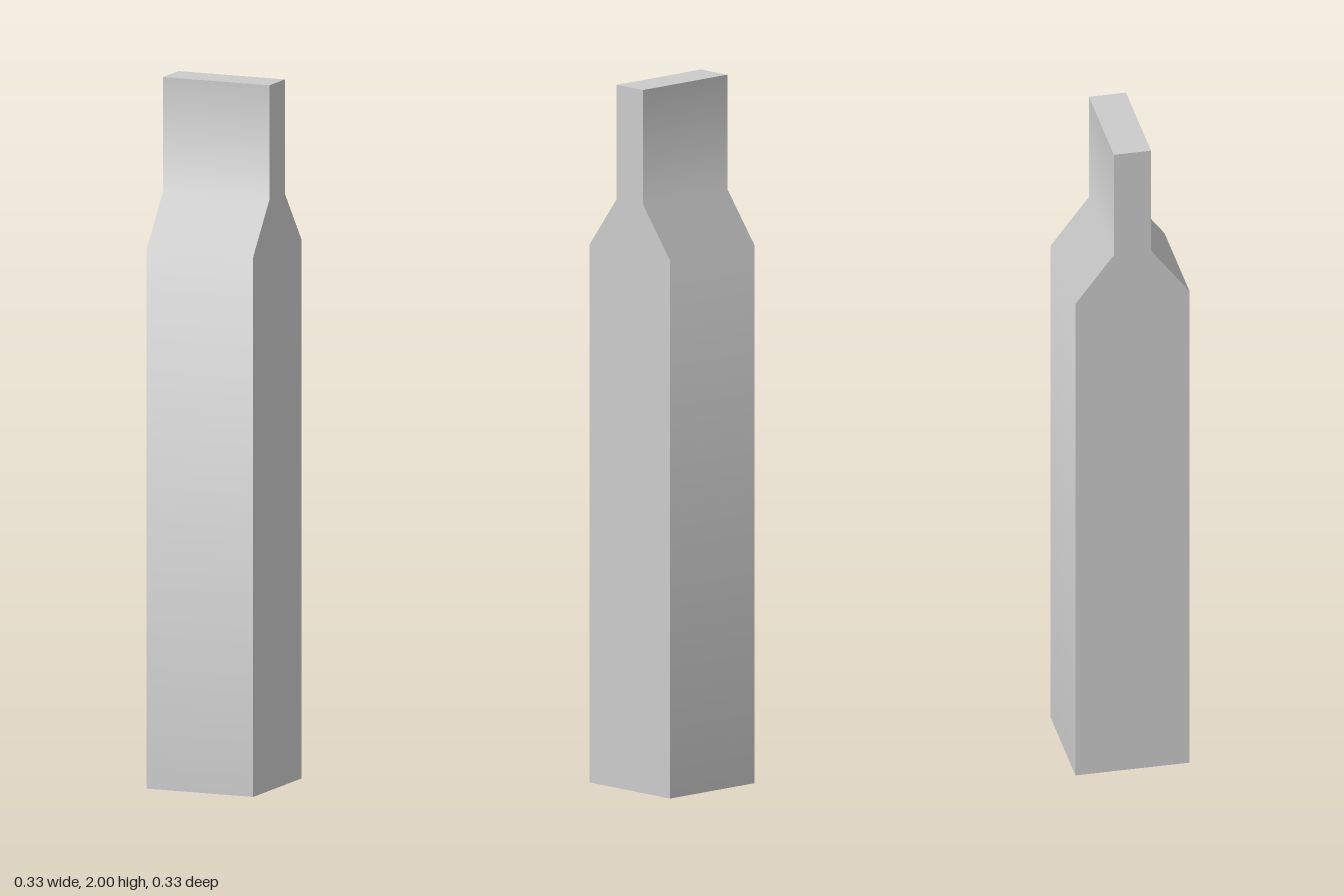
import * as THREE from 'three';

const HALF_WIDTH = 0.163;
// Side profile from bottom to top: [half depth, height]
const PROFILE = [[0.163, 0], [0.163, 1.53], [0.053, 1.675], [0.053, 2]];

export function createModel() {
  const group = new THREE.Group();
  const material = new THREE.MeshStandardMaterial({ color: 0xcccccc, side: THREE.DoubleSide });
  const add = (name, geometry) => {
    const mesh = new THREE.Mesh(geometry, material);
    mesh.name = name;
    group.add(mesh);
    return mesh;
  };

  // Broad faces: a strip bent along the profile, shaded smoothly over the bends
  const tilt = Math.atan2(0.11, 0.145) / 2;
  const broad = new THREE.PlaneGeometry(HALF_WIDTH * 2, 2, 1, PROFILE.length - 1);
  const { position, normal } = broad.attributes;
  for (let i = 0; i < position.count; i++) {
    const row = PROFILE.length - 1 - Math.floor(i / 2);
    const [z, y] = PROFILE[row];
    position.setY(i, y);
    position.setZ(i, z);
    const a = row === 1 || row === 2 ? tilt : 0;
    normal.setXYZ(i, 0, Math.sin(a), Math.cos(a));
  }
  add('frontFace', broad);
  add('backFace', broad).rotation.y = Math.PI;

  // Flat bottle-shaped sides
  const outline = [
    ...PROFILE.map(([z, y]) => new THREE.Vector2(z, y)),
    ...PROFILE.map(([z, y]) => new THREE.Vector2(-z, y)).reverse(),
  ];
  const sideGeometry = new THREE.ShapeGeometry(new THREE.Shape(outline));
  for (const [name, s] of [['leftSide', 1], ['rightSide', -1]]) {
    const side = add(name, sideGeometry);
    side.rotation.y = s * Math.PI / 2;
    side.position.x = s * HALF_WIDTH;
  }

  // Top cap; the bottom stays open
  const cap = add('topCap', new THREE.PlaneGeometry(HALF_WIDTH * 2, PROFILE[3][0] * 2));
  cap.rotation.x = -Math.PI / 2;
  cap.position.y = 2;
  return group;
}
